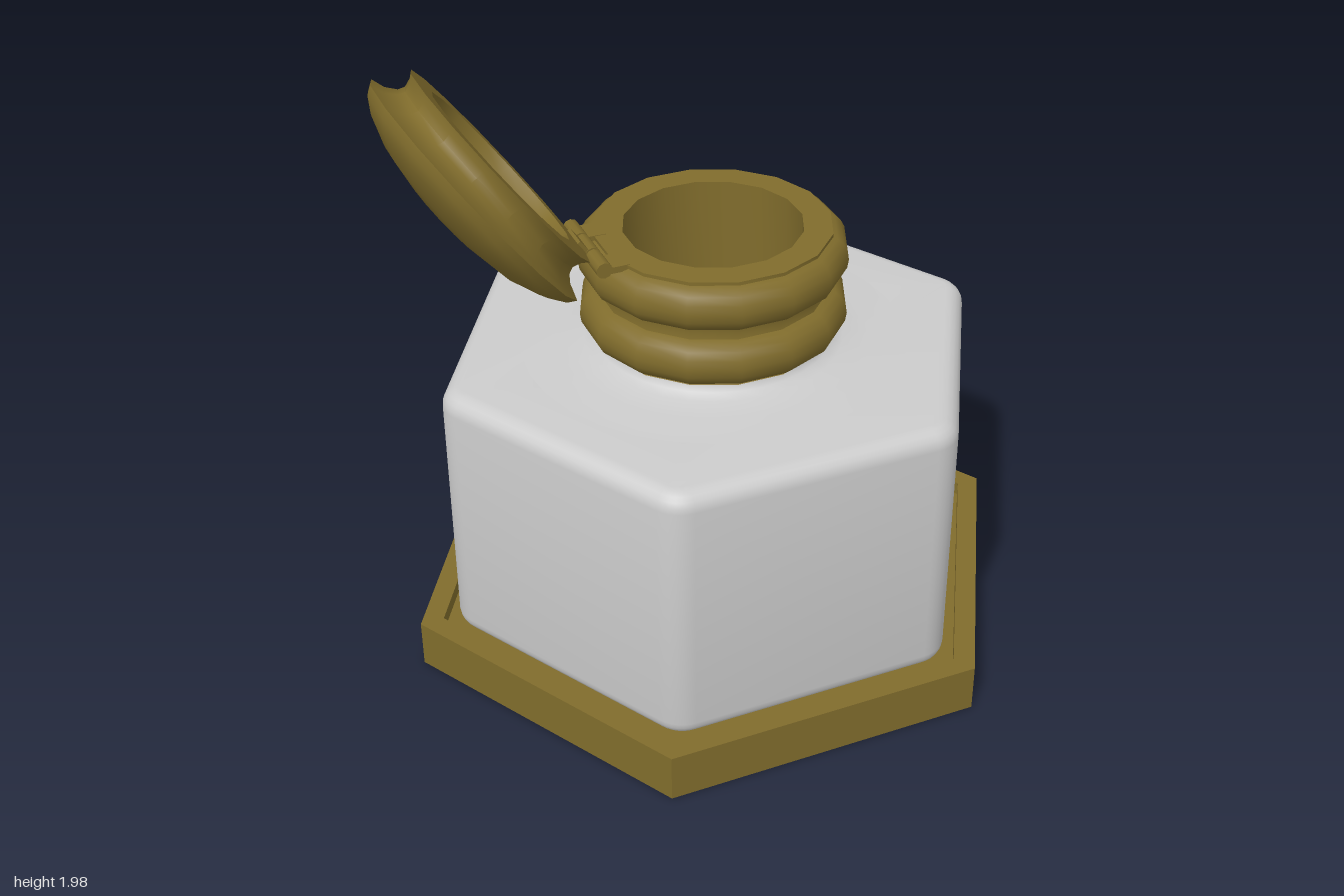
import * as THREE from 'three';
import { toCreasedNormals } from 'three/addons/utils/BufferGeometryUtils.js';

const SIDES = 16;
const brass = new THREE.MeshStandardMaterial({ color: 0x806c2c });
const brassFlat = new THREE.MeshStandardMaterial({ color: 0x806c2c, flatShading: true });
const glass = new THREE.MeshStandardMaterial({ color: 0xcccccc });
const black = new THREE.MeshStandardMaterial({ color: 0x0a0a0a });

function add(parent, name, geometry, material, x = 0, y = 0, z = 0) {
  const mesh = new THREE.Mesh(geometry, material);
  mesh.name = name;
  mesh.position.set(x, y, z);
  parent.add(mesh);
  return mesh;
}

// Revolve [radius, height] points, keeping sharp edges crisp
function turned(points, sides = SIDES, start = Math.PI / SIDES) {
  const profile = points.map(([r, y]) => new THREE.Vector2(r, y));
  return toCreasedNormals(new THREE.LatheGeometry(profile, sides, start), 0.7);
}

// Hexagon with its corners on the x axis, softened by quadratic curves
function roundedHexagon(radius, cut) {
  const shape = new THREE.Shape();
  const corner = (i) => new THREE.Vector2(Math.cos(i * Math.PI / 3), Math.sin(i * Math.PI / 3)).multiplyScalar(radius);
  for (let i = 0; i < 6; i++) {
    const c = corner(i);
    const a = c.clone().lerp(corner(i - 1), cut);
    const b = c.clone().lerp(corner(i + 1), cut);
    if (i === 0) shape.moveTo(a.x, a.y);
    else shape.lineTo(a.x, a.y);
    shape.quadraticCurveTo(c.x, c.y, b.x, b.y);
  }
  shape.closePath();
  return shape;
}

// Half-round bead seen in profile, from bottom to top
function bead(centerR, centerY, rx, ry) {
  const points = [];
  for (let i = 0; i <= 8; i++) {
    const a = -Math.PI / 2 + (i / 8) * Math.PI;
    points.push([centerR + rx * Math.cos(a), centerY + ry * Math.sin(a)]);
  }
  return points;
}

function createHinge(parent) {
  const hinge = new THREE.Group();
  hinge.name = 'hinge';
  hinge.position.set(-0.4, 1.375, 0);
  for (const z of [-0.1, 0, 0.1]) {
    const knuckle = add(hinge, 'hingeKnuckle', new THREE.CylinderGeometry(0.025, 0.025, 0.092, 10), brass, 0, 0, z);
    knuckle.rotation.x = Math.PI / 2;
  }
  const pin = add(hinge, 'hingePin', new THREE.CylinderGeometry(0.015, 0.015, 0.29, 8), brass);
  pin.rotation.x = Math.PI / 2;
  for (const z of [-0.1, 0.1]) {
    add(hinge, 'hingeLeaf', new THREE.BoxGeometry(0.08, 0.02, 0.08), brass, 0.04, -0.008, z);
  }
  parent.add(hinge);
}

function createLid(parent) {
  const lid = new THREE.Group();
  lid.name = 'lid';
  lid.position.set(-0.645, 1.69, 0);
  lid.rotation.z = -Math.atan2(0.8, 0.6);
  // Domed outside, grooved edge, flat rim and bowl-shaped inside
  add(lid, 'lidShell', turned([
    [0, -0.215], [0.15, -0.212], [0.27, -0.19], [0.36, -0.155], [0.405, -0.125], [0.42, -0.1],
    [0.38, -0.088], [0.35, -0.065], [0.342, -0.045], [0.35, -0.02], [0.365, 0],
    [0.28, 0], [0.27, -0.04], [0.24, -0.085], [0.18, -0.115], [0, -0.125],
  ]), brass);
  add(lid, 'lidHingeLeaf', new THREE.BoxGeometry(0.07, 0.02, 0.09), brass, 0.37, 0, 0);
  parent.add(lid);
}

export function createModel() {
  const model = new THREE.Group();
  model.name = 'inkwell';

  // Six-sided tray with a raised rim
  const base = new THREE.LatheGeometry(
    [[0, 0], [1, 0], [1, 0.155], [0.925, 0.155], [0.925, 0.11], [0, 0.11]].map(([r, y]) => new THREE.Vector2(r, y)),
    6, Math.PI / 2);
  add(model, 'baseTray', base, brassFlat);

  // Six-sided bottle with softened edges and an open well
  const bevel = 0.055;
  const shape = roundedHexagon(0.883 - bevel / 0.866, 0.04);
  const well = new THREE.Path();
  well.absarc(0, 0, 0.29 + bevel, 0, Math.PI * 2, true);
  shape.holes.push(well);
  const body = new THREE.ExtrudeGeometry(shape, {
    depth: 0.875 - bevel * 2, bevelThickness: bevel, bevelSize: bevel, bevelSegments: 5, curveSegments: 6,
  });
  body.rotateX(-Math.PI / 2);
  add(model, 'bottleBody', toCreasedNormals(body, 0.6), glass, 0, 0.11 + bevel, 0);

  // Shoulder flaring from the bottle top into the neck
  add(model, 'bottleNeck', turned([
    [0.62, 0.984], [0.48, 0.99], [0.4, 0.998], [0.37, 1.01], [0.355, 1.03], [0.355, 1.06],
  ], 32, 0), glass);

  // Beaded collar, lined down into the well
  add(model, 'collar', turned([
    [0.275, 0.78], [0.285, 0.78], [0.285, 1.03], [0.365, 1.03],
    ...bead(0.355, 1.108, 0.057, 0.072),
    [0.352, 1.2],
    ...bead(0.355, 1.292, 0.057, 0.072),
    [0.363, 1.364], [0.363, 1.375], [0.275, 1.375], [0.275, 0.78],
  ]), brass);

  const ink = new THREE.CircleGeometry(0.28, SIDES, Math.PI / SIDES);
  ink.rotateX(-Math.PI / 2);
  add(model, 'ink', ink, black, 0, 0.8, 0);

  createHinge(model);
  createLid(model);
  return model;
}
